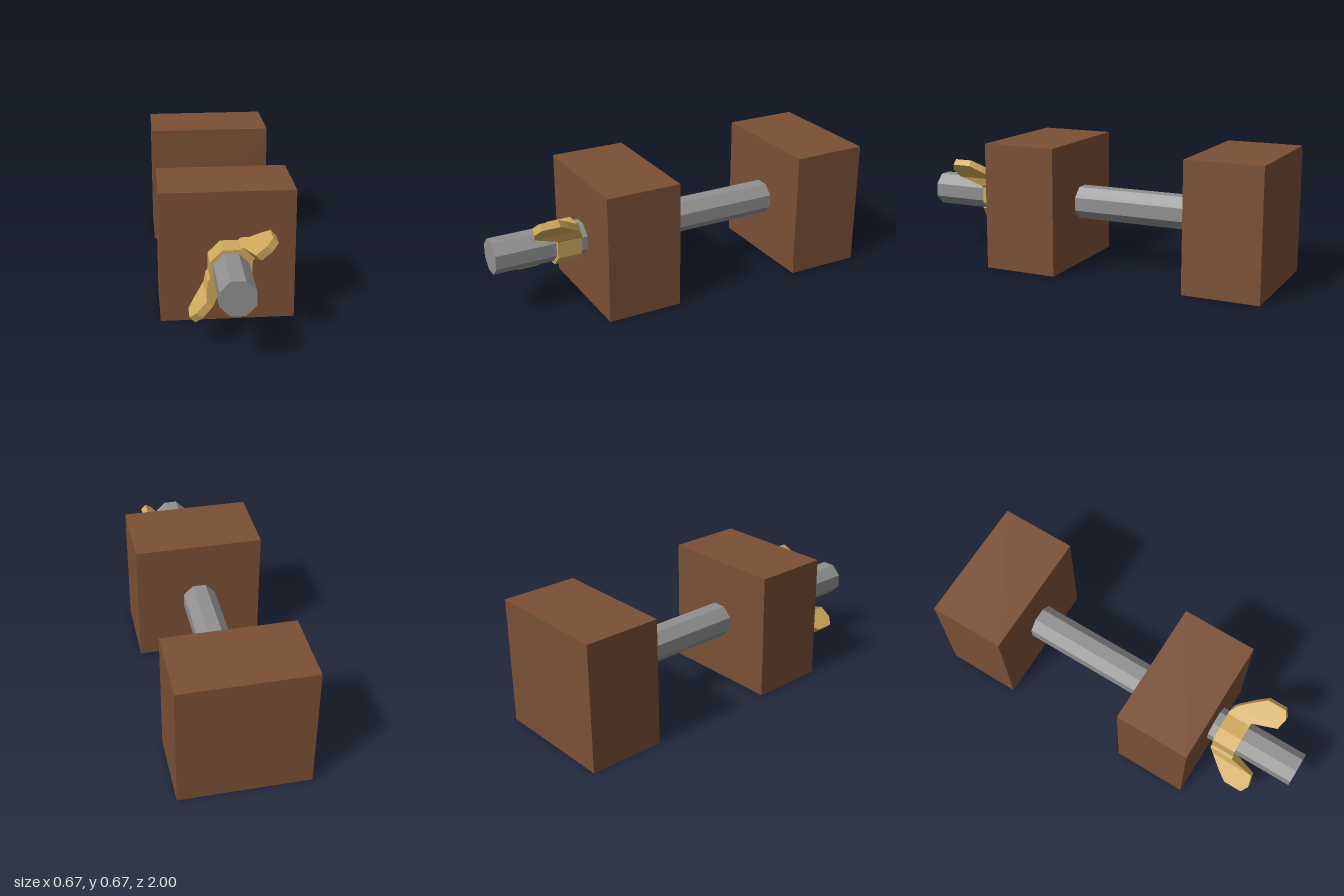
import * as THREE from 'three';

const AXIS_Y = 0.337;

// Flat-sided octagonal bar along z, given the distance from axis to flat
function octagon(apothem, z0, z1) {
  const r = apothem / Math.cos(Math.PI / 8);
  const g = new THREE.CylinderGeometry(r, r, z1 - z0, 8);
  g.rotateY(Math.PI / 8).rotateX(Math.PI / 2);
  return g.translate(0, AXIS_Y, (z0 + z1) / 2);
}

// Wing lofted outwards through rectangles: [distance, back z, front z, half width]
function wingGeometry() {
  const sections = [
    [0.09, 0.55, 0.68, 0.041],
    [0.12, 0.55, 0.68, 0.041],
    [0.159, 0.575, 0.81, 0.019],
    [0.228, 0.645, 0.825, 0.019],
    [0.274, 0.70, 0.80, 0.019],
  ];
  const rings = sections.map(([d, z0, z1, w]) =>
    [[d, -w, z0], [d, w, z0], [d, w, z1], [d, -w, z1]]);
  const pos = [];
  const quad = (a, b, c, d) => pos.push(...a, ...b, ...c, ...a, ...c, ...d);
  for (let i = 0; i < rings.length - 1; i++) {
    for (let k = 0; k < 4; k++) {
      const n = (k + 1) % 4;
      quad(rings[i][k], rings[i][n], rings[i + 1][n], rings[i + 1][k]);
    }
  }
  quad(...rings[rings.length - 1]);
  quad(...[...rings[0]].reverse());
  const g = new THREE.BufferGeometry();
  g.setAttribute('position', new THREE.Float32BufferAttribute(pos, 3));
  g.computeVertexNormals();
  return g;
}

export function createModel() {
  const model = new THREE.Group();
  model.name = 'boltedBlocks';
  const material = (name, color) => {
    const m = new THREE.MeshStandardMaterial({ color, flatShading: true });
    m.name = name;
    return m;
  };
  const wood = material('brownWood', 0x7a5035);
  const steel = material('greySteel', 0x909090);
  const brass = material('brass', 0xcfa85c);

  const add = (name, geometry, mat, parent = model) => {
    const mesh = new THREE.Mesh(geometry, mat);
    mesh.name = name;
    parent.add(mesh);
    return mesh;
  };

  // Wooden blocks
  for (const [name, z] of [['backBlock', -0.8], ['frontBlock', 0.31]]) {
    add(name, new THREE.BoxGeometry(0.67, 0.672, 0.4), wood).position.set(0, 0.336, z);
  }

  // Rod running through the front block into the back block
  add('rod', octagon(0.085, -0.7, 1), steel);

  // Wing nut
  const nut = new THREE.Group();
  nut.name = 'wingNut';
  model.add(nut);
  add('nutBody', octagon(0.102, 0.55, 0.68), brass, nut);
  const wing = wingGeometry();
  for (const [name, angle] of [['upperWing', Math.PI / 4], ['lowerWing', Math.PI * 1.25]]) {
    const mesh = add(name, wing, brass, nut);
    mesh.position.y = AXIS_Y;
    mesh.rotation.z = angle;
  }

  return model;
}
